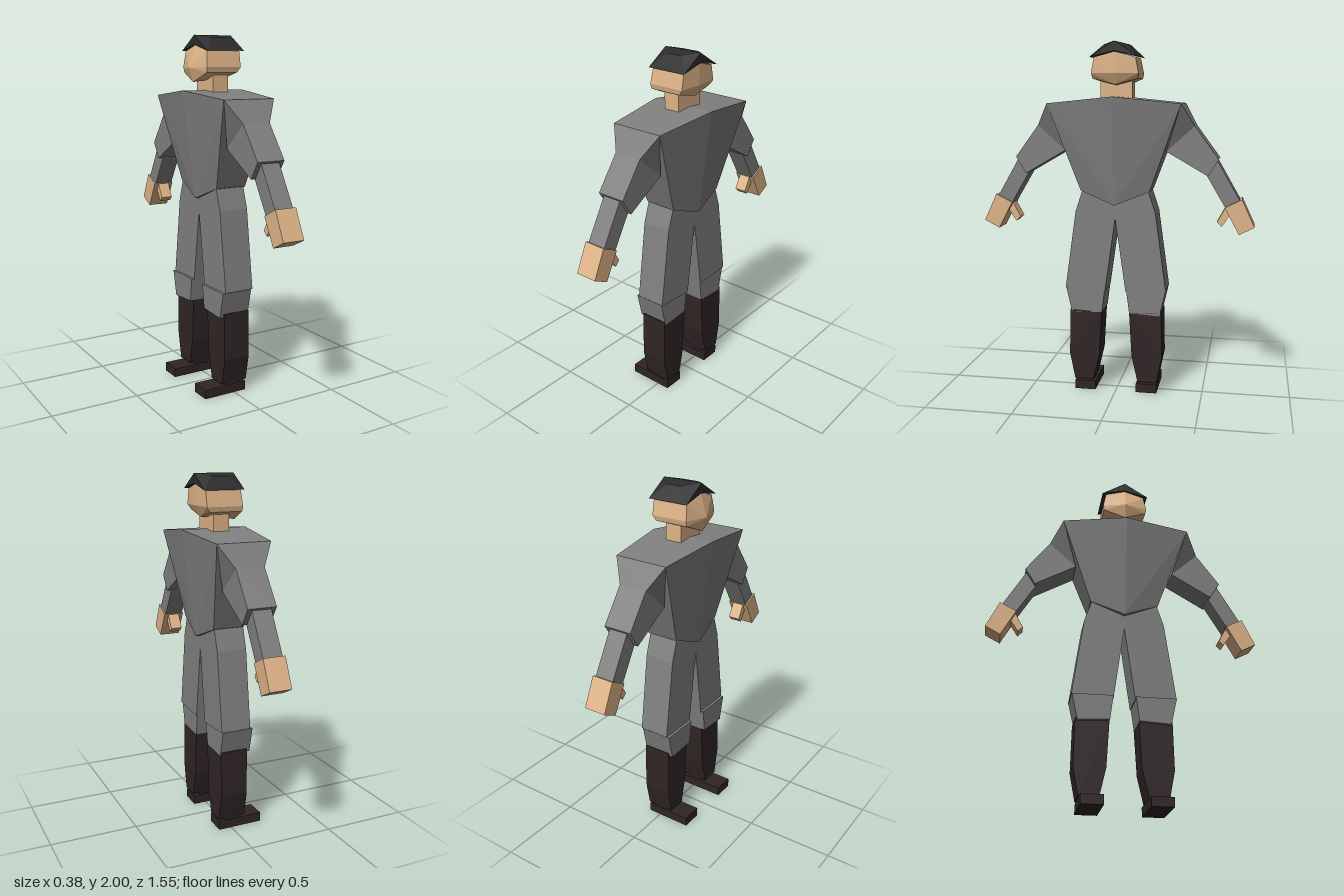
import * as THREE from 'three';
import { ConvexGeometry } from 'three/addons/geometries/ConvexGeometry.js';

const material = (color) => new THREE.MeshStandardMaterial({ color, flatShading: true });
const cloth = material(0x808080);
const skin = material(0xdfb488);
const boots = material(0x302525);
const felt = material(0x2c2c2c);

// Faceted solid around a few corner points [x, y, z]
function hull(name, points, mat) {
  const mesh = new THREE.Mesh(new ConvexGeometry(points.map((p) => new THREE.Vector3(...p))), mat);
  mesh.name = name;
  return mesh;
}

// Side outline [z, y] stretched from x0 to x1, with z flipped by side
function slab(name, outline, x0, x1, side, mat) {
  return hull(name, outline.flatMap(([z, y]) => [[x0, y, z * side], [x1, y, z * side]]), mat);
}

// Repeats each point on both sides of z = 0
const bothSides = (points) => points.flatMap(([x, y, z]) => (z ? [[x, y, z], [x, y, -z]] : [[x, y, z]]));

function createArm(side) {
  const arm = new THREE.Group();
  // Wide shoulder tapering to the sleeve
  arm.add(hull('shoulder', [
    ...[-1, 1].flatMap((s) => [
      [0.155 * s, 1.666, 0.37 * side],
      [0.082 * s, 1.545, 0.44 * side],
      [0.082 * s, 1.405, 0.285 * side],
    ]),
  ], cloth));
  arm.add(slab('upperArm', [[0.44, 1.545], [0.573, 1.365], [0.515, 1.272], [0.285, 1.405]], -0.082, 0.082, side, cloth));
  arm.add(slab('forearm', [[0.50, 1.43], [0.563, 1.36], [0.69, 1.14], [0.61, 1.1], [0.508, 1.272]], -0.055, 0.055, side, cloth));
  arm.add(slab('hand', [[0.703, 1.146], [0.775, 0.992], [0.69, 0.948], [0.61, 1.098]], -0.063, 0.063, side, skin));
  arm.add(slab('thumb', [[0.615, 1.1], [0.567, 1.013], [0.594, 0.987], [0.64, 1.055]], -0.035, 0.035, side, skin));
  return arm;
}

function createLeg(side) {
  const leg = new THREE.Group();
  leg.add(slab('thigh', [[0, 1.19], [0.185, 1.19], [0.228, 1.06], [0.29, 0.615], [0.06, 0.6], [0, 1.024]], -0.09, 0.085, side, cloth));
  leg.add(slab('kneeCuff', [[0.288, 0.612], [0.255, 0.465], [0.08, 0.475], [0.062, 0.612]], -0.105, 0.078, side, cloth));
  leg.add(slab('boot', [[0.265, 0.485], [0.27, 0.217], [0.24, 0.065], [0.13, 0.065], [0.095, 0.217], [0.08, 0.475]], -0.083, 0.078, side, boots));
  leg.add(slab('ankle', [[0.235, 0.075], [0.235, 0.045], [0.135, 0.045], [0.135, 0.075]], -0.05, 0.04, side, boots));
  leg.add(slab('foot', [[0.24, 0.052], [0.24, 0], [0.12, 0], [0.12, 0.052]], -0.19, 0.075, side, boots));
  return leg;
}

export function createModel() {
  const model = new THREE.Group();
  model.name = 'figure';

  // Torso tapering from broad shoulders to a pointed waist
  model.add(hull('torso', bothSides([-1, 1].flatMap((s) => [
    [0.192 * s, 1.703, 0], [0.155 * s, 1.666, 0.37],
    [0.113 * s, 1.102, 0], [0.092 * s, 1.18, 0.195],
  ])), cloth));

  // Neck
  model.add(slab('neck', [[-0.09, 1.66], [0.09, 1.66], [0.09, 1.8], [-0.09, 1.8]], -0.05, 0.045, 1, skin));

  // Angular head with a ridge down the face, which looks towards -x
  model.add(hull('head', bothSides([
    [-0.112, 1.945, 0], [-0.105, 1.915, 0.115], [0.1, 1.915, 0.115], [0.108, 1.945, 0],
    [-0.15, 1.825, 0], [-0.112, 1.828, 0.132], [0.1, 1.828, 0.132], [0.11, 1.83, 0],
    [-0.125, 1.748, 0], [-0.11, 1.8, 0.126], [0.08, 1.8, 0.126], [0.08, 1.768, 0],
  ]), skin));

  for (const side of [1, -1]) {
    const label = side > 0 ? 'left' : 'right';

    // Half of the peaked cap, folded down over the temple
    model.add(hull(label + 'CapHalf', [-1, 1].flatMap((s) => [
      [0.117 * s, 1.915, 0.137 * side], [0.117 * s, 2, 0],
      [0.117 * s, 1.947, 0], [0.05 * s, 1.985, 0.068 * side],
    ]), felt));

    const arm = createArm(side);
    arm.name = label + 'Arm';
    const leg = createLeg(side);
    leg.name = label + 'Leg';
    model.add(arm, leg);
  }
  return model;
}
